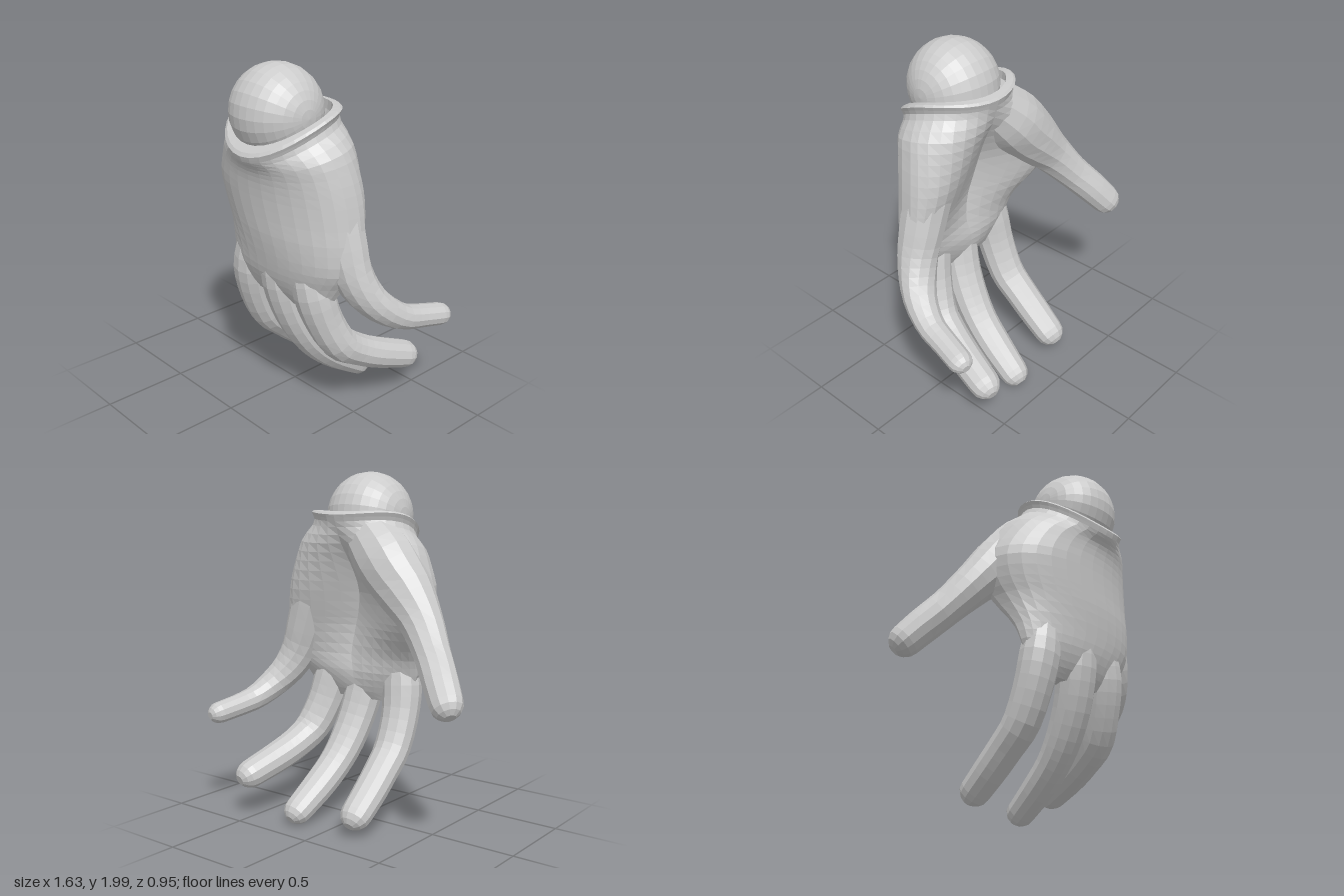
import * as THREE from 'three';

const material = new THREE.MeshStandardMaterial({ color: 0xcccccc, flatShading: true });

// Skin a list of equal-length rings and close both ends with a fan
function loft(rings) {
  const n = rings[0].length;
  const positions = [];
  const index = [];
  for (const ring of rings) for (const p of ring) positions.push(p.x, p.y, p.z);
  for (let i = 0; i < rings.length - 1; i++) {
    for (let j = 0; j < n; j++) {
      const a = i * n + j, b = i * n + (j + 1) % n;
      index.push(a, b, a + n, b, b + n, a + n);
    }
  }
  [0, rings.length - 1].forEach((r, end) => {
    const centre = new THREE.Vector3();
    rings[r].forEach((p) => centre.addScaledVector(p, 1 / n));
    const c = positions.length / 3;
    positions.push(centre.x, centre.y, centre.z);
    for (let j = 0; j < n; j++) {
      const a = r * n + j, b = r * n + (j + 1) % n;
      if (end) index.push(a, b, c);
      else index.push(b, a, c);
    }
  });
  const geometry = new THREE.BufferGeometry();
  geometry.setAttribute('position', new THREE.Float32BufferAttribute(positions, 3));
  geometry.setIndex(index);
  geometry.computeVertexNormals();
  return geometry;
}

// Tapered digit along [x, y, z, radius] points, with a rounded tip
function digit(points, sides = 12, steps = 18) {
  const path = new THREE.CatmullRomCurve3(points.map(([x, y, z]) => new THREE.Vector3(x, y, z)));
  const radii = new THREE.CatmullRomCurve3(points.map((p) => new THREE.Vector3(p[3], 0, 0)));
  const rings = [];
  const addRing = (centre, tangent, r) => {
    const side = new THREE.Vector3(1, 0, 0);
    side.addScaledVector(tangent, -side.dot(tangent)).normalize();
    const up = tangent.clone().cross(side);
    rings.push(Array.from({ length: sides }, (_, j) => {
      const a = (j / sides) * Math.PI * 2;
      return centre.clone().addScaledVector(side, r * Math.cos(a)).addScaledVector(up, 0.93 * r * Math.sin(a));
    }));
  };
  for (let i = 0; i <= steps; i++) {
    const t = i / steps;
    addRing(path.getPoint(t), path.getTangent(t), radii.getPoint(t).x);
  }
  const tip = path.getPoint(1), direction = path.getTangent(1), r = points.at(-1)[3];
  for (const a of [0.4, 0.8, 1.2]) {
    addRing(tip.clone().addScaledVector(direction, r * Math.sin(a)), direction, r * Math.cos(a));
  }
  return loft(rings);
}

// One palm cross-section: arched front, hollow back between two mounds.
// edges holds the z of the left-hand and right-hand ends;
// dip lowers the ring with z squared, giving the slanted wrist opening.
function palmRing({ y, left, right, front, edges, back, mound = 0, power = 2, dip = 0 }, n = 32) {
  return Array.from({ length: n }, (_, j) => {
    const a = (-j / n) * Math.PI * 2;
    const s = Math.sin(a), c = Math.cos(a);
    const x = (left + right) / 2 + ((right - left) / 2) * c;
    const edge = THREE.MathUtils.lerp(edges[0], edges[1], (c + 1) / 2);
    const z = s > 0
      ? edge + (front - edge) * s ** (power === 1 ? 1 : 0.85)
      : edge + (back - edge) * Math.abs(s) ** power - mound * Math.abs(2 * s * c);
    return new THREE.Vector3(x, y - dip * z * z, z);
  });
}

// Wrist opening, shrunk by inset and lowered by drop
const wristRing = (inset, drop) => palmRing({
  y: 1.78 - drop, left: -0.215 + inset, right: 0.43 - inset, front: 0.475 - inset,
  edges: [0.18, 0.18], back: -0.11 + inset, power: 1, dip: 0.95,
});

function palmGeometry() {
  const sections = [
    { y: 0.68, left: -0.18, right: 0.42, front: 0.225, edges: [0.17, 0.17], back: 0.13 },
    { y: 0.74, left: -0.22, right: 0.46, front: 0.27, edges: [0.17, 0.15], back: 0.1 },
    { y: 0.84, left: -0.27, right: 0.52, front: 0.315, edges: [0.17, 0.12], back: 0.085, mound: 0.02 },
    { y: 0.95, left: -0.295, right: 0.59, front: 0.34, edges: [0.14, 0.09], back: 0.1, mound: 0.04 },
    { y: 1.1, left: -0.35, right: 0.6, front: 0.365, edges: [0.05, 0.08], back: 0.11, mound: 0.08 },
    { y: 1.2, left: -0.4, right: 0.59, front: 0.375, edges: [0.01, 0.08], back: 0.1, mound: 0.1 },
    { y: 1.34, left: -0.43, right: 0.57, front: 0.39, edges: [0.01, 0.09], back: 0.07, mound: 0.12 },
    { y: 1.48, left: -0.375, right: 0.54, front: 0.405, edges: [0.05, 0.11], back: 0.01, mound: 0.11, dip: 0.3 },
    { y: 1.61, left: -0.3, right: 0.5, front: 0.425, edges: [0.11, 0.14], back: -0.06, mound: 0.06, power: 1.4, dip: 0.7 },
  ].map((s) => palmRing(s));
  sections.push(wristRing(0.015, 0.06), wristRing(0, 0.01));

  // Smooth every column between the sections
  const columns = sections[0].map((_, j) => new THREE.CatmullRomCurve3(sections.map((ring) => ring[j])));
  const rows = 24;
  const rings = Array.from({ length: rows + 1 }, (_, i) => columns.map((curve) => curve.getPoint(i / rows)));

  // Rolled lip and the socket wall inside it
  for (const [inset, drop] of [[0.012, 0], [0.05, 0], [0.055, 0.05], [0.09, 0.14]]) {
    rings.push(wristRing(inset, drop));
  }
  return loft(rings);
}

export function createModel() {
  const hand = new THREE.Group();
  hand.name = 'hand';
  const add = (name, geometry) => {
    const mesh = new THREE.Mesh(geometry, material);
    mesh.name = name;
    hand.add(mesh);
    return mesh;
  };

  add('palm', palmGeometry());

  // Each digit starts buried in the palm; thumb and little finger include their mounds
  const digits = {
    thumb: [
      [-0.01, 1.64, 0.06, 0.15], [-0.155, 1.5, 0.03, 0.178], [-0.305, 1.34, 0.005, 0.16],
      [-0.43, 1.2, -0.035, 0.124], [-0.555, 1.04, -0.11, 0.102], [-0.66, 0.91, -0.19, 0.098],
      [-0.725, 0.825, -0.24, 0.092],
    ],
    indexFinger: [
      [-0.08, 1.15, 0.2, 0.05], [-0.13, 0.95, 0.2, 0.095], [-0.155, 0.77, 0.19, 0.118],
      [-0.167, 0.6, 0.15, 0.111], [-0.17, 0.42, 0.065, 0.106], [-0.173, 0.32, -0.04, 0.1],
      [-0.175, 0.225, -0.15, 0.097], [-0.175, 0.13, -0.27, 0.09],
    ],
    middleFinger: [
      [0.1, 1.15, 0.25, 0.08], [0.11, 0.95, 0.23, 0.1], [0.12, 0.77, 0.205, 0.118],
      [0.14, 0.58, 0.15, 0.112], [0.16, 0.41, 0.06, 0.106], [0.175, 0.3, -0.03, 0.1],
      [0.19, 0.2, -0.15, 0.097], [0.208, 0.088, -0.315, 0.085],
    ],
    ringFinger: [
      [0.28, 1.15, 0.22, 0.07], [0.32, 0.95, 0.205, 0.1], [0.358, 0.77, 0.185, 0.12],
      [0.39, 0.61, 0.14, 0.112], [0.43, 0.46, 0.06, 0.108], [0.455, 0.385, -0.05, 0.1],
      [0.485, 0.325, -0.18, 0.097], [0.525, 0.257, -0.375, 0.088],
    ],
    littleFinger: [
      [0.33, 1.55, 0.1, 0.11], [0.42, 1.3, 0.1, 0.138], [0.485, 1.1, 0.1, 0.132],
      [0.54, 0.94, 0.09, 0.118], [0.595, 0.82, 0.045, 0.106], [0.65, 0.73, -0.03, 0.093],
      [0.695, 0.652, -0.15, 0.078], [0.717, 0.622, -0.27, 0.071], [0.745, 0.597, -0.405, 0.068],
    ],
  };
  for (const [name, points] of Object.entries(digits)) add(name, digit(points));

  // Ball joint seated in the wrist opening
  const ball = add('wristBall', new THREE.SphereGeometry(0.25, 24, 16));
  ball.position.set(0.1, 1.75, 0.22);
  ball.rotation.z = Math.PI / 2;

  return hand;
}
